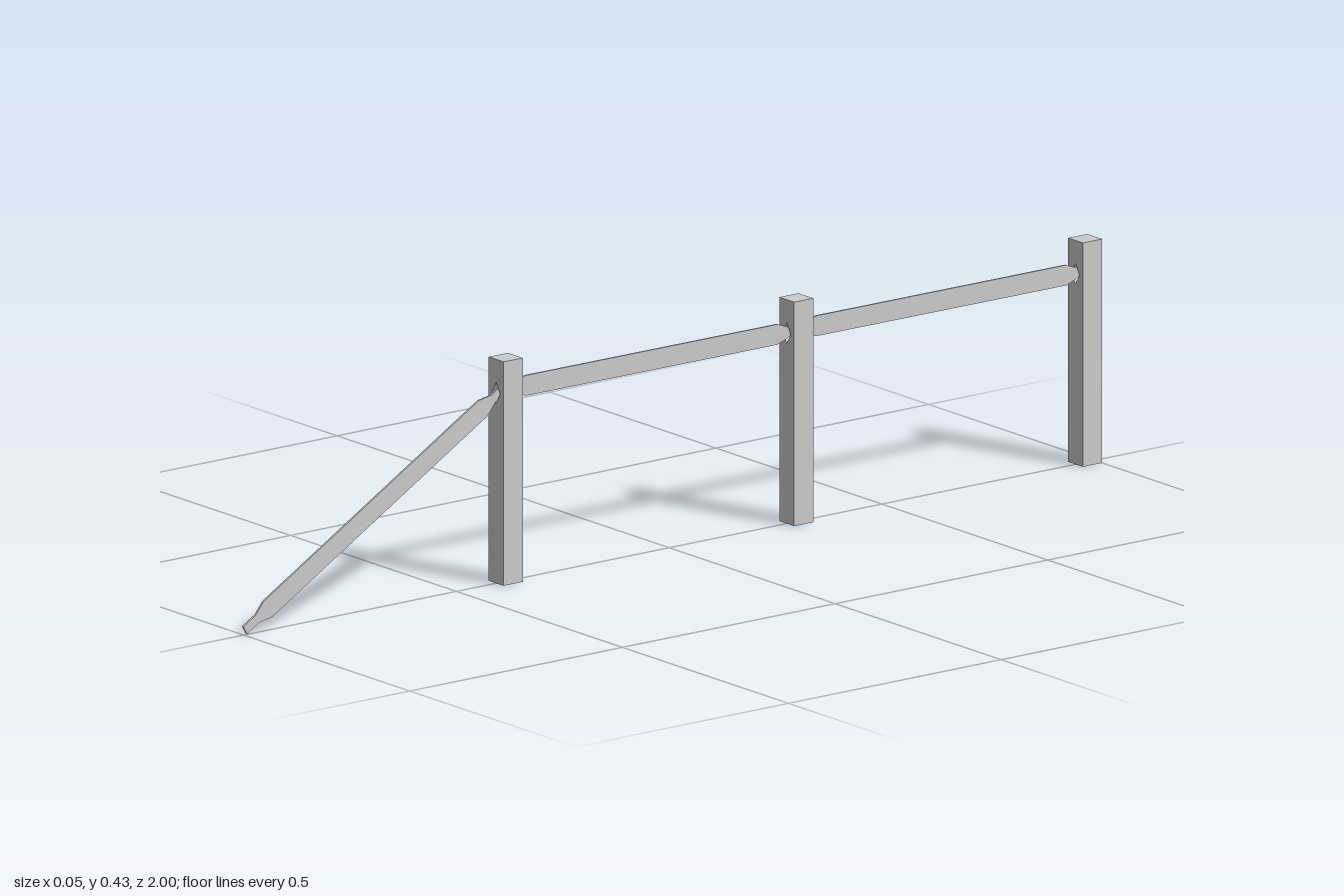
import * as THREE from 'three';

const material = new THREE.MeshStandardMaterial({ color: 0xcccccc, flatShading: true });
const POST_W = 0.045, POST_H = 0.43, HOLE_Y = 0.366;
const POSTS_Z = [0.384, -0.299, -0.9775];
const RAIL_T = 0.004;

const points = (list) => list.map(([x, y]) => new THREE.Vector2(x, y));

// Square post with a diamond-shaped mortise running through it along z
function makePost(z) {
  const w = POST_W / 2;
  const shape = new THREE.Shape(points([[-w, 0], [w, 0], [w, POST_H], [-w, POST_H]]));
  shape.holes.push(new THREE.Path(points([
    [0, HOLE_Y - 0.02], [-0.012, HOLE_Y], [0, HOLE_Y + 0.02], [0.012, HOLE_Y],
  ])));
  const geometry = new THREE.ExtrudeGeometry(shape, { depth: POST_W, bevelEnabled: false });
  geometry.translate(0, 0, -w);
  const post = new THREE.Mesh(geometry, material);
  post.position.z = z;
  return post;
}

// Thin plank between two points, tapering to a narrow tenon at each end
function makeRail(start, end) {
  const l = start.distanceTo(end) / 2;
  const half = 0.0195, neck = 0.009, tenon = 0.034, taper = 0.028;
  const upper = [
    [l, neck], [l - tenon, neck], [l - tenon - taper, half],
    [-l + tenon + taper, half], [-l + tenon, neck], [-l, neck],
  ];
  const lower = upper.map(([x, y]) => [x, -y]).reverse();
  const geometry = new THREE.ExtrudeGeometry(
    new THREE.Shape(points([...upper, ...lower])), { depth: RAIL_T, bevelEnabled: false });
  geometry.translate(0, 0, -RAIL_T / 2);
  geometry.rotateY(-Math.PI / 2); // length along z, thickness along x
  const rail = new THREE.Mesh(geometry, material);
  rail.position.copy(start).lerp(end, 0.5);
  rail.lookAt(end);
  return rail;
}

export function createModel() {
  const fence = new THREE.Group();
  fence.name = 'fence';

  ['frontPost', 'middlePost', 'backPost'].forEach((name, i) => {
    const post = makePost(POSTS_Z[i]);
    post.name = name;
    fence.add(post);
  });

  // Level rails, slightly skewed so neighbouring tenons pass inside a mortise
  const overlap = 0.015, skew = 0.002;
  ['frontRail', 'backRail'].forEach((name, i) => {
    const rail = makeRail(
      new THREE.Vector3(-skew, HOLE_Y + 0.002, POSTS_Z[i] + overlap),
      new THREE.Vector3(skew, HOLE_Y + 0.002, POSTS_Z[i + 1] - overlap));
    rail.name = name;
    fence.add(rail);
  });

  // Fallen rail, sloping from the front post to the ground
  const fallen = makeRail(
    new THREE.Vector3(-0.003, 0.008, 0.9955),
    new THREE.Vector3(skew, 0.374, 0.387));
  fallen.name = 'slopingRail';
  fence.add(fallen);

  return fence;
}
